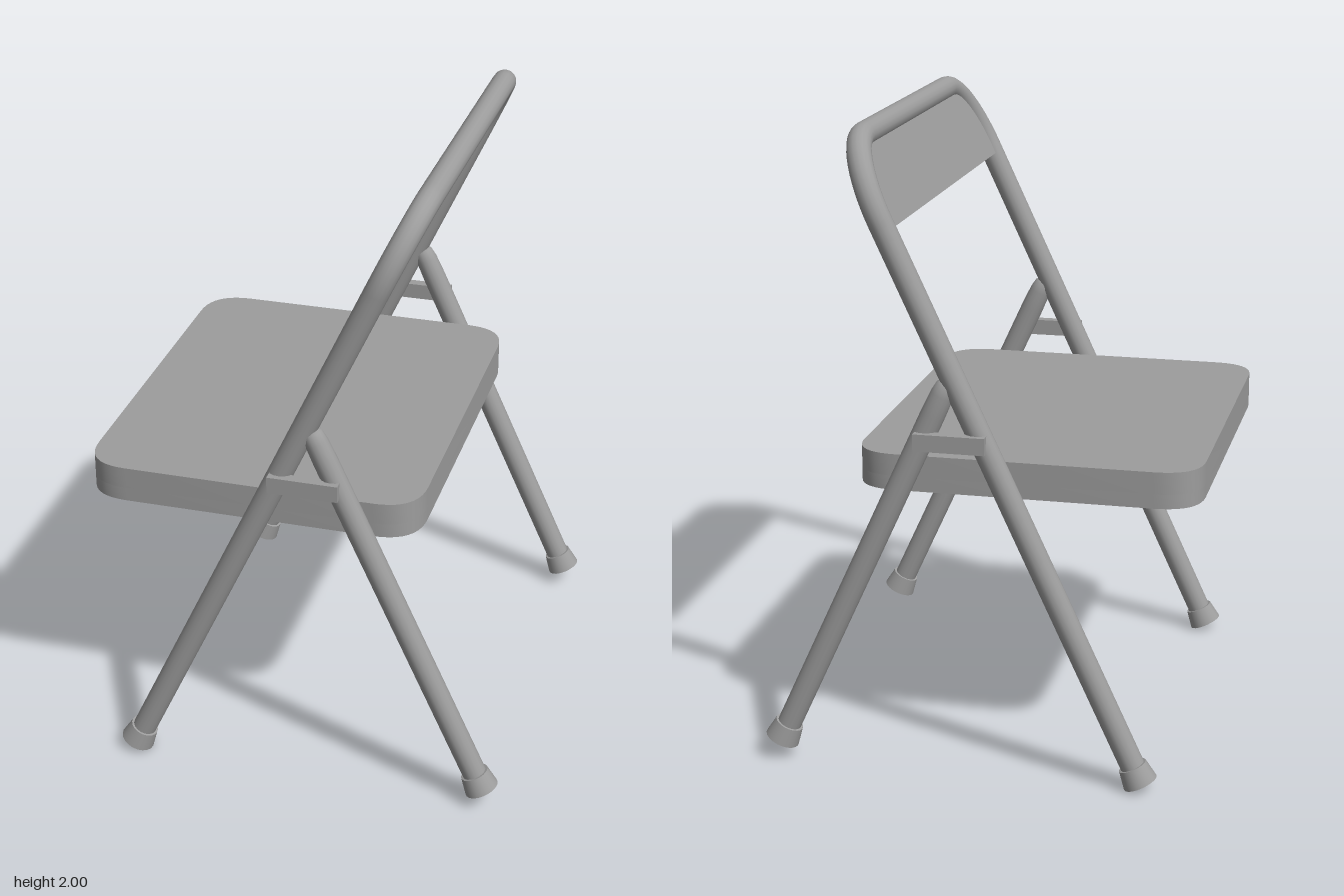
import * as THREE from 'three';
import { toCreasedNormals } from 'three/addons/utils/BufferGeometryUtils.js';

const material = new THREE.MeshStandardMaterial({ color: 0x9d9d9d });
const TUBE = 0.038; // tube radius
const LEG_Z = 0.682; // distance of the legs from the middle

function add(parent, name, geometry, x = 0, y = 0, z = 0) {
  const mesh = new THREE.Mesh(geometry, material);
  mesh.name = name;
  mesh.position.set(x, y, z);
  parent.add(mesh);
  return mesh;
}

// Group whose local y runs along a leg, from its foot to its top
function leaningGroup(name, foot, top) {
  const group = new THREE.Group();
  group.name = name;
  group.position.set(foot[0], foot[1], 0);
  group.rotation.z = -Math.atan2(top[0] - foot[0], top[1] - foot[1]);
  group.userData.length = Math.hypot(top[0] - foot[0], top[1] - foot[1]);
  return group;
}

function addFeet(group, name) {
  for (const side of [1, -1]) {
    add(group, name, new THREE.CylinderGeometry(0.045, 0.055, 0.06, 20), 0, 0.03, side * LEG_Z);
  }
}

// Rectangle with softly squared corners that start a distance r from each corner
function roundedRect(w, h, r, Kind = THREE.Shape) {
  const s = new Kind();
  const x = w / 2, y = h / 2;
  s.moveTo(x, y - r);
  s.quadraticCurveTo(x, y, x - r, y);
  s.lineTo(r - x, y);
  s.quadraticCurveTo(-x, y, -x, y - r);
  s.lineTo(-x, r - y);
  s.quadraticCurveTo(-x, -y, r - x, -y);
  s.lineTo(x - r, -y);
  s.quadraticCurveTo(x, -y, x, r - y);
  s.closePath();
  return s;
}

function extrude(shape, depth) {
  const geometry = new THREE.ExtrudeGeometry(shape, { depth, bevelEnabled: false, curveSegments: 10 });
  return toCreasedNormals(geometry, 0.6);
}

// Bent tube forming the front legs and the back, with the backrest panel
function buildMainFrame() {
  const frame = leaningGroup('mainFrame', [-0.525, 0.025], [0.378, 1.962]);
  const top = frame.userData.length;
  const ry = 0.25, rz = 0.2; // size of the bend along and across the frame
  const ky = ry * 0.448, kz = rz * 0.448;
  const p = (y, z) => new THREE.Vector3(0, y, z);
  const path = new THREE.CurvePath();
  path.add(new THREE.LineCurve3(p(0.02, LEG_Z), p(top - ry, LEG_Z)));
  path.add(new THREE.CubicBezierCurve3(
    p(top - ry, LEG_Z), p(top - ky, LEG_Z), p(top, LEG_Z - kz), p(top, LEG_Z - rz)));
  path.add(new THREE.LineCurve3(p(top, LEG_Z - rz), p(top, rz - LEG_Z)));
  path.add(new THREE.CubicBezierCurve3(
    p(top, rz - LEG_Z), p(top, kz - LEG_Z), p(top - ky, -LEG_Z), p(top - ry, -LEG_Z)));
  path.add(new THREE.LineCurve3(p(top - ry, -LEG_Z), p(0.02, -LEG_Z)));
  add(frame, 'frameTube', new THREE.TubeGeometry(path, 200, TUBE, 16));
  addFeet(frame, 'frontFoot');

  // Panel edges end inside the tube
  const low = top - 0.28;
  const panel = new THREE.Shape();
  panel.moveTo(-LEG_Z, low);
  panel.lineTo(LEG_Z, low);
  panel.lineTo(LEG_Z, top - ry);
  panel.bezierCurveTo(LEG_Z, top - ky, LEG_Z - kz, top, LEG_Z - rz, top);
  panel.lineTo(rz - LEG_Z, top);
  panel.bezierCurveTo(kz - LEG_Z, top, -LEG_Z, top - ky, -LEG_Z, top - ry);
  panel.closePath();
  const geometry = extrude(panel, 0.028).translate(0, 0, -0.01).rotateY(-Math.PI / 2);
  add(frame, 'backrestPanel', geometry);
  return frame;
}

// Rear legs with rounded, slightly narrowed upper ends
function buildRearLegs() {
  const legs = leaningGroup('rearLegs', [0.625, 0.06], [0.07, 1.27]);
  const top = legs.userData.length;
  const profile = [[TUBE, 0.02], [TUBE, top - 0.12], [0.036, top - 0.05],
    [0.031, top - 0.018], [0.019, top - 0.004], [0, top]];
  for (const side of [1, -1]) {
    const geometry = new THREE.LatheGeometry(profile.map(([x, y]) => new THREE.Vector2(x, y)), 16);
    add(legs, 'rearLeg', geometry, 0, 0, side * LEG_Z);
  }
  addFeet(legs, 'rearFoot');
  return legs;
}

// Seat pan: solid top with a downturned rim, hollow underneath
function buildSeat() {
  const seat = new THREE.Group();
  seat.name = 'seat';
  seat.position.set(-0.145, 0.898, 0);
  const rim = roundedRect(1.07, 1.272, 0.14);
  rim.holes.push(roundedRect(0.98, 1.182, 0.12, THREE.Path));
  add(seat, 'seatRim', extrude(rim, 0.045).rotateX(-Math.PI / 2));
  const topGeometry = extrude(roundedRect(1.07, 1.272, 0.14), 0.069).rotateX(-Math.PI / 2);
  add(seat, 'seatTop', topGeometry, 0, 0.045, 0);
  return seat;
}

export function createModel() {
  const chair = new THREE.Group();
  chair.name = 'foldingChair';
  chair.add(buildMainFrame(), buildRearLegs(), buildSeat());
  // Brackets joining front and rear legs
  for (const side of [1, -1]) {
    add(chair, 'hingeBracket', new THREE.BoxGeometry(0.22, 0.053, 0.035), 0.06, 1.085, side * 0.72);
  }
  return chair;
}
